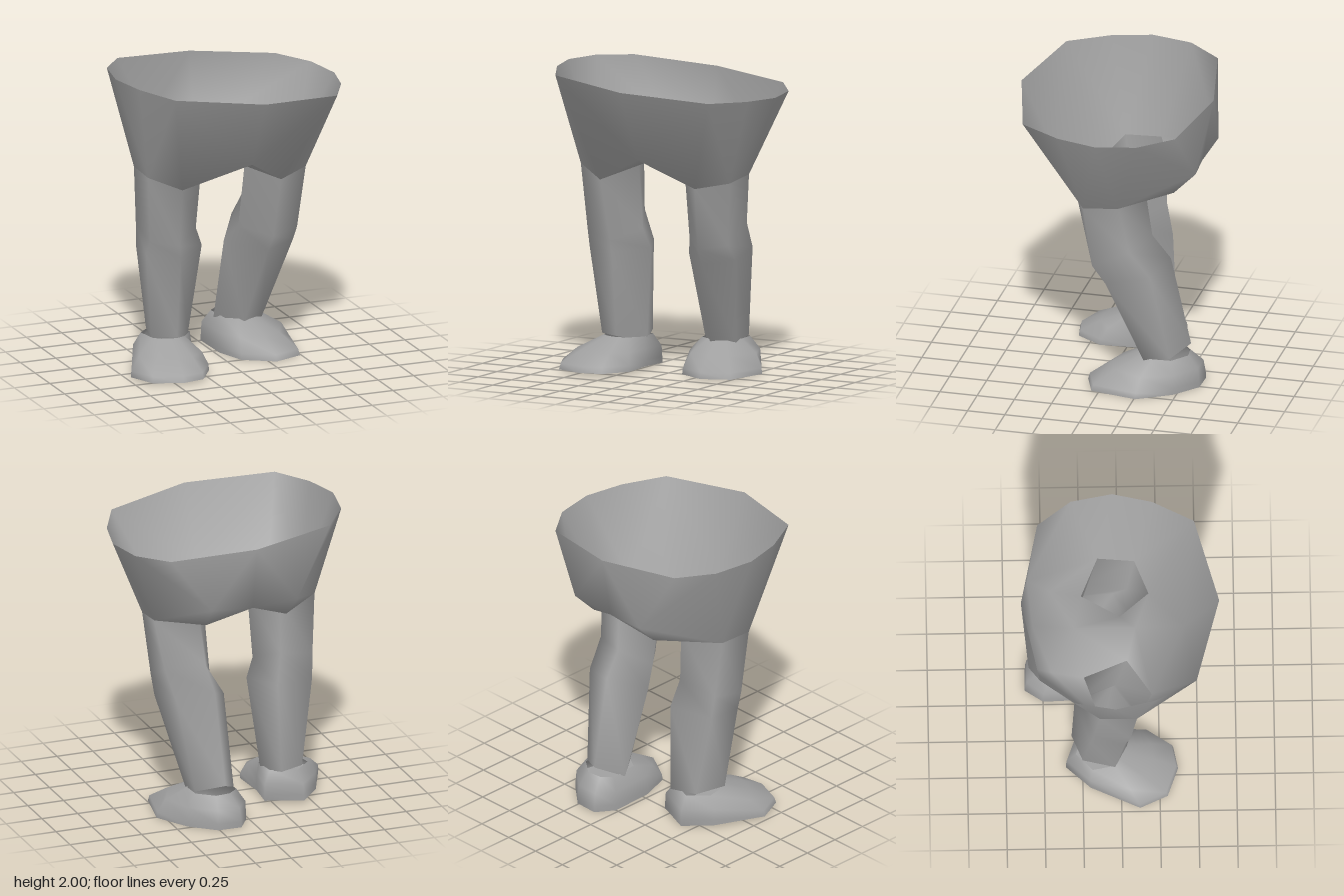
import * as THREE from 'three';

const grey = new THREE.MeshStandardMaterial({ color: 0xa0a0a0, side: THREE.DoubleSide });
grey.name = 'plain grey';

// Smooth indexed mesh from points and faces
function makeMesh(name, points, faces) {
  const g = new THREE.BufferGeometry();
  g.setAttribute('position', new THREE.Float32BufferAttribute(points.flat(), 3));
  g.setIndex(faces.flat());
  g.computeVertexNormals();
  const mesh = new THREE.Mesh(g, grey);
  mesh.name = name;
  return mesh;
}

// Skin between rings listed top to bottom, each counterclockwise from above
function loft(name, rings, closeBottom) {
  const n = rings[0].length, points = rings.flat(), faces = [];
  for (let r = 0; r < rings.length - 1; r++) {
    for (let i = 0; i < n; i++) {
      const a = r * n + i, b = r * n + (i + 1) % n;
      faces.push([a, a + n, b + n], [a, b + n, b]);
    }
  }
  if (closeBottom) {
    const last = points.slice(-n);
    const base = points.length;
    points.push(...last.map(p => [...p]));
    const flat = last.map(p => new THREE.Vector2(p[0], p[2]));
    for (const [a, b, c] of THREE.ShapeUtils.triangulateShape(flat, [])) {
      const [p, q, s] = [flat[a], flat[b], flat[c]];
      const turn = (q.x - p.x) * (s.y - p.y) - (q.y - p.y) * (s.x - p.x);
      faces.push(turn > 0 ? [base + a, base + b, base + c] : [base + a, base + c, base + b]);
    }
  }
  return makeMesh(name, points, faces);
}

// Leg rings: outer back, inner back, inner, front, outer front
const leftLeg = [
  [[0.52, 1.33, -0.14], [0.25, 1.36, -0.25], [0.12, 1.32, 0], [0.3, 1.26, 0.19], [0.51, 1.3, 0.1]],
  [[0.47, 1.0, -0.2], [0.22, 1.03, -0.29], [0.11, 0.89, -0.08], [0.28, 0.85, 0.11], [0.47, 0.88, 0.05]],
  [[0.44, 0.82, -0.33], [0.2, 0.87, -0.41], [0.05, 0.77, -0.18], [0.27, 0.74, 0.04], [0.48, 0.77, -0.04]],
  [[0.35, 0.22, -0.44], [0.18, 0.27, -0.54], [0.06, 0.19, -0.38], [0.2, 0.18, -0.2], [0.35, 0.18, -0.27]],
];
const rightLeg = [
  [[-0.6, 1.36, -0.14], [-0.32, 1.38, -0.24], [-0.2, 1.36, 0.04], [-0.4, 1.27, 0.2], [-0.6, 1.35, 0.1]],
  [[-0.57, 0.96, -0.18], [-0.32, 1.02, -0.25], [-0.21, 0.93, -0.03], [-0.38, 0.86, 0.11], [-0.57, 0.9, 0.06]],
  [[-0.56, 0.8, -0.2], [-0.28, 0.82, -0.3], [-0.16, 0.8, -0.05], [-0.37, 0.78, 0.1], [-0.58, 0.8, 0.02]],
  [[-0.47, 0.22, -0.25], [-0.3, 0.22, -0.32], [-0.23, 0.18, -0.12], [-0.37, 0.22, 0.04], [-0.52, 0.22, -0.04]],
];

// Foot: sole outline, rounded upper and a collar around the ankle
const leftSole = [[0.02, -0.5], [0.03, -0.2], [0.1, 0], [0.3, 0.12], [0.49, 0.05],
  [0.55, -0.26], [0.42, -0.48], [0.26, -0.615], [0.1, -0.62]];
const rightSole = [[-0.2, -0.27], [-0.44, -0.36], [-0.585, -0.2], [-0.73, 0.12], [-0.65, 0.3],
  [-0.46, 0.37], [-0.31, 0.34], [-0.2, 0.17], [-0.22, -0.08]];

function foot(name, sole, [cx, cz], y0) {
  const ring = (y, lerp) => sole.map(([x, z]) => {
    const d = Math.hypot(x - cx, z - cz), t = lerp(d);
    return [x + (cx - x) * t, y, z + (cz - z) * t];
  });
  const pull = d => THREE.MathUtils.clamp(d - 0.2, 0, 0.32);
  return loft(name, [
    ring(0.21, d => 1 - 0.16 / d),
    ring(0.13, pull),
    ring(y0 + 0.04, d => pull(d) * 0.08),
    ring(y0, () => 0),
  ], true);
}

// Pelvis half: open rim, hip opening, crotch and buttock points
function pelvisHalf(name, side, hip) {
  const rim = [[0, 0.645], [0.57, 0.49], [0.71, 0.22], [0.77, -0.04], [0.72, -0.31], [0.555, -0.53], [0, -0.645]]
    .map(([x, z]) => [side * x, 1.933 - 0.088 * side * x, z]);
  const centre = [[0, 1.46, 0.42], [0, 1.435, 0.1], [0, 1.44, -0.3], [0, 1.5, -0.57]];
  const buttock = [[side * 0.3, 1.53, -0.6], [side * 0.28, 1.375, -0.45]];
  const points = [...rim, ...hip, ...centre, ...buttock];
  const [OB, IB, I, F, OF, c0, c1, c2, c3, k1, k2] = [7, 8, 9, 10, 11, 12, 13, 14, 15, 16, 17];
  const faces = [
    [0, c0, 1], [c0, F, 1], [1, F, OF], [1, OF, 2], [2, OF, 3], [3, OF, OB], [3, OB, 4],
    [4, OB, k1], [4, k1, 5], [5, k1, 6], [6, k1, c3],
    [k1, OB, k2], [k2, OB, IB], [c3, k1, k2], [c3, k2, c2], [c2, k2, IB],
    [c2, IB, I], [c2, I, c1], [c1, I, F], [c1, F, c0],
  ];
  return { points, faces: side > 0 ? faces : faces.map(([a, b, c]) => [a, c, b]) };
}

// Both halves joined along the shared centre line
function pelvis() {
  const points = [], faces = [], seen = new Map();
  for (const [side, hip] of [[1, leftLeg[0]], [-1, rightLeg[0]]]) {
    const half = pelvisHalf('half', side, hip);
    const ids = half.points.map(p => {
      const key = p.map(v => (v + 0).toFixed(3).replace('-0.000', '0.000')).join();
      if (!seen.has(key)) seen.set(key, points.push(p) - 1);
      return seen.get(key);
    });
    faces.push(...half.faces.map(f => f.map(i => ids[i])));
  }
  return makeMesh('pelvis', points, faces);
}

export function createModel() {
  const model = new THREE.Group();
  model.name = 'walkingLegs';
  model.add(
    pelvis(),
    loft('leftLeg', leftLeg),
    loft('rightLeg', rightLeg.map(r => [...r].reverse())),
    foot('leftFoot', leftSole, [0.21, -0.38], 0),
    foot('rightFoot', rightSole, [-0.38, -0.14], 0.015),
  );
  return model;
}
